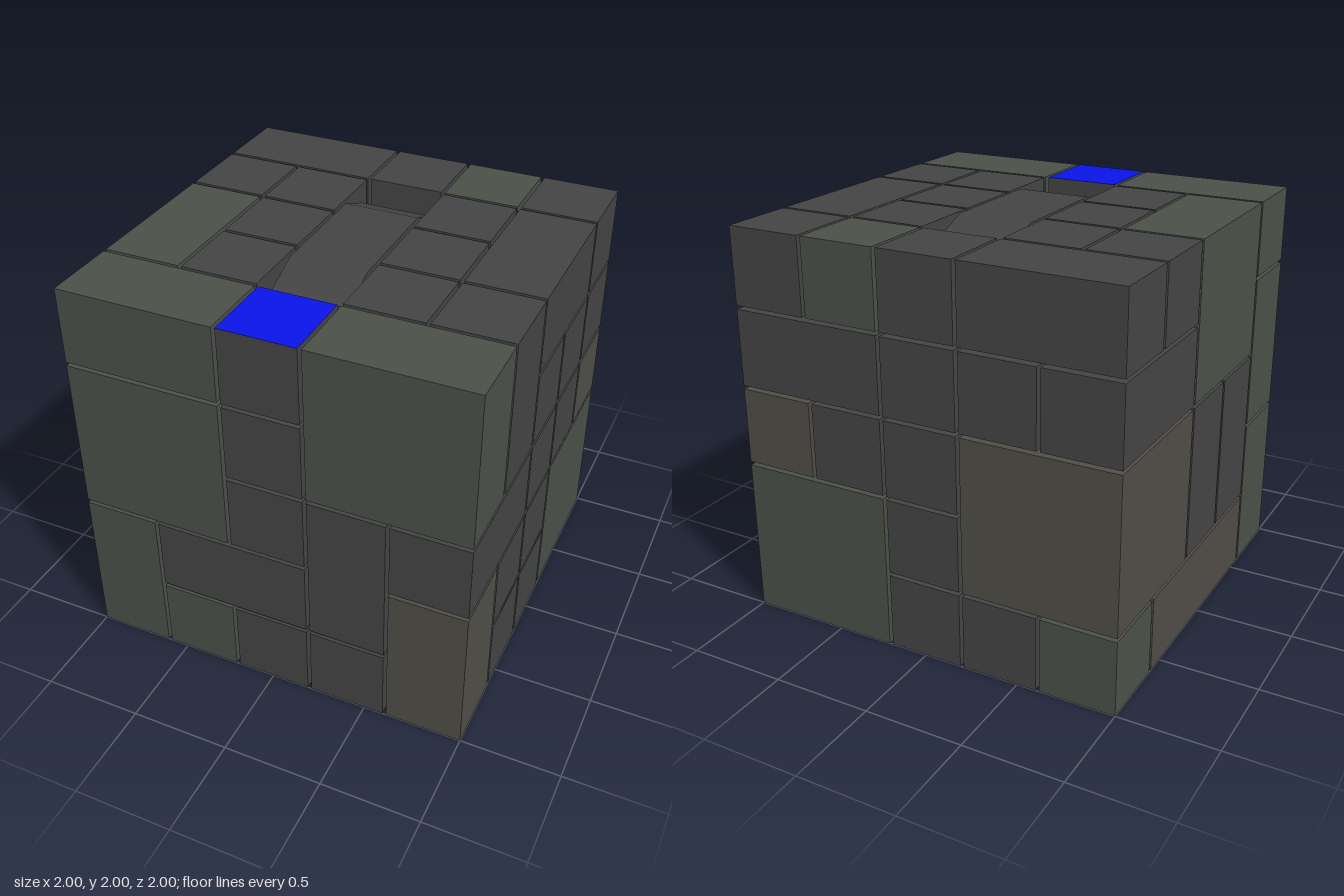
import * as THREE from 'three';

const PITCH = 0.40375; // spacing of the 5 x 5 x 5 grid
const SIZE = 0.385; // edge of a single cube, leaving a thin gap

const material = (color) => new THREE.MeshStandardMaterial({ color, flatShading: true });
const span = (n) => SIZE + (n - 1) * PITCH;
const centre = (start, n) => (start - 2 + (n - 1) / 2) * PITCH;

// Blocks: grid cell (x, y, z) followed by their size in cells
const greenBlocks = [
  [0, 4, 4, 2, 1, 1], [3, 3, 4, 2, 2, 1], [0, 2, 4, 2, 2, 1], [0, 0, 4, 1, 2, 1],
  [1, 0, 4, 1, 1, 1], [3, 0, 0, 2, 2, 2], [3, 4, 0, 1, 1, 1], [0, 3, 2, 1, 2, 2],
  [0, 0, 0, 1, 1, 1],
];
const warmBlocks = [
  [4, 0, 4, 1, 2, 1], [4, 2, 0, 1, 1, 1], [0, 1, 0, 2, 2, 2], [0, 0, 1, 1, 1, 3],
];
const darkBlocks = [
  [3, 1, 4, 1, 2, 1], [4, 2, 3, 1, 1, 2], [1, 1, 4, 2, 1, 1], [4, 3, 3, 1, 2, 1],
  [4, 4, 1, 1, 1, 2], [0, 4, 0, 2, 1, 1], [3, 3, 0, 2, 1, 1], [0, 3, 0, 1, 1, 2],
  [0, 1, 2, 1, 2, 1], [0, 1, 3, 1, 2, 1], [2, 0, 2, 2, 1, 2],
];

export function createModel() {
  const model = new THREE.Group();
  model.name = 'blockCube';
  const dark = material(0x444444);
  const green = material(0x4a5048);
  const warm = material(0x504d46);
  const blue = material(0x0a14e6);
  const taken = new Set();

  const claim = ([x, y, z, w, h, d]) => {
    for (let i = x; i < x + w; i++)
      for (let j = y; j < y + h; j++)
        for (let k = z; k < z + d; k++) taken.add(`${i},${j},${k}`);
  };
  const addBlock = (name, mat, cells) => {
    const [x, y, z, w, h, d] = cells;
    const mesh = new THREE.Mesh(new THREE.BoxGeometry(span(w), span(h), span(d)), mat);
    mesh.position.set(centre(x, w), centre(y, h) + 1, centre(z, d));
    mesh.name = name;
    model.add(mesh);
    claim(cells);
  };

  greenBlocks.forEach((b) => addBlock('greenBlock', green, b));
  warmBlocks.forEach((b) => addBlock('warmBlock', warm, b));
  darkBlocks.forEach((b) => addBlock('darkBlock', dark, b));

  // Long block in the top with two-facet rounded ends
  const half = 0.58, r = 0.28, low = -SIZE / 2, high = SIZE / 2;
  const end = [0, 1, 2].map((n) => {
    const a = (n * Math.PI) / 4;
    return new THREE.Vector2(half - r + r * Math.cos(a), high - r + r * Math.sin(a));
  });
  const profile = new THREE.Shape([
    new THREE.Vector2(-half, low), new THREE.Vector2(half, low), ...end,
    ...end.slice().reverse().map((p) => new THREE.Vector2(-p.x, p.y)),
  ]);
  const roundedGeometry = new THREE.ExtrudeGeometry(profile, { depth: SIZE, bevelEnabled: false });
  roundedGeometry.translate(0, 0, -SIZE / 2).rotateY(Math.PI / 2);
  const rounded = new THREE.Mesh(roundedGeometry, dark);
  rounded.position.y = centre(4, 1) + 1;
  rounded.name = 'roundedTopBlock';
  model.add(rounded);
  claim([2, 4, 1, 1, 1, 3]);

  // Single cubes fill every remaining cell
  for (let i = 0; i < 5; i++)
    for (let j = 0; j < 5; j++)
      for (let k = 0; k < 5; k++)
        if (!taken.has(`${i},${j},${k}`)) addBlock('singleCube', dark, [i, j, k, 1, 1, 1]);

  // Blue plate on the top front cube
  const plate = new THREE.Mesh(new THREE.BoxGeometry(SIZE, 0.002, SIZE), blue);
  plate.position.set(0, 2, centre(4, 1));
  plate.name = 'bluePlate';
  model.add(plate);

  return model;
}
